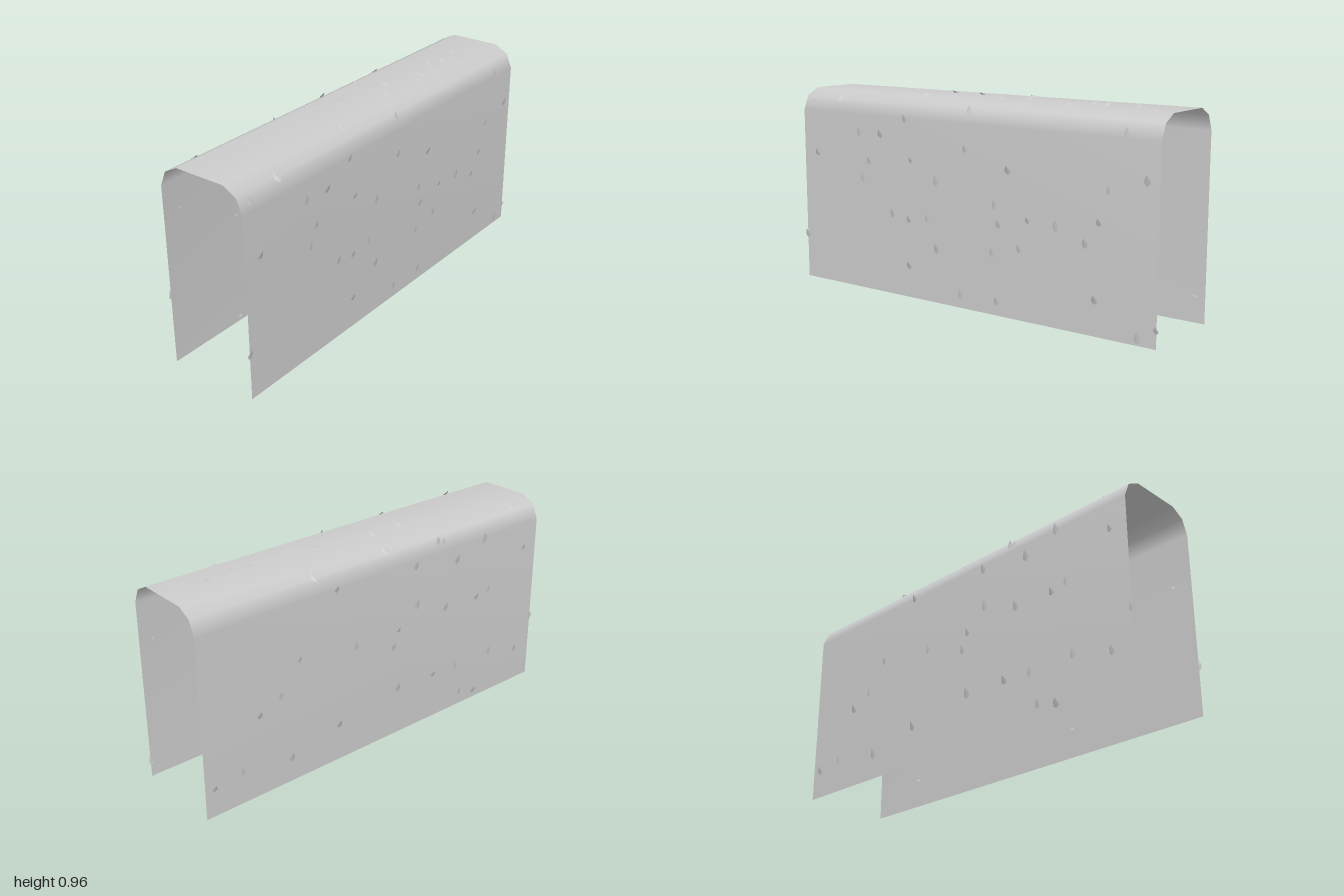
import * as THREE from 'three';

// Right half of the arch cross-section, from the ground to the crown
const HALF = [[0.216, 0], [0.216, 0.842], [0.187, 0.91], [0.123, 0.944], [0, 0.944]];
const HALF_LENGTH = 0.987;

// Leaves on the flanks as z, y pairs
const LEFT_LEAVES = [
  0.93, 0.88, 0.76, 0.91, 0.90, 0.635, 0.60, 0.54, 0.56, 0.625, 0.485, 0.755, 0.62, 0.76, 0.335, 0.84,
  0.30, 0.65, 0.15, 0.57, 0.415, 0.39, 0.315, 0.37, 0.205, 0.39, 0.15, 0.255, 0.315, 0.15, -0.025, 0.90,
  -0.015, 0.73, -0.25, 0.655, -0.18, 0.50, -0.20, 0.415, -0.355, 0.45, -0.50, 0.445, -0.645, 0.39,
  -0.71, 0.485, -0.755, 0.625, -0.93, 0.68, -0.83, 0.86, -0.165, 0.285, -0.31, 0.32, -0.695, 0.155,
  0.01, 0.065, -0.19, 0.065, -0.985, 0.08, -0.90, 0.035, 0.985, 0.22,
];
const RIGHT_LEAVES = [
  -0.94, 0.135, -0.80, 0.16, -0.54, 0.12, -0.70, 0.39, -0.59, 0.445, -0.485, 0.58, -0.27, 0.18,
  -0.175, 0.54, 0.05, 0.46, 0.08, 0.535, 0.19, 0.63, 0.375, 0.56, 0.58, 0.55, 0.66, 0.57, 0.08, 0.24,
  0.305, 0.23, 0.45, 0.225, 0.49, 0.07, 0.59, 0.04, 0.685, 0.23, 0.88, 0.18, 0.90, 0.72, 0.615, 0.84,
  0.18, 0.82, -0.28, 0.84, 0.985, 0.33, 0.44, 0.78, 0.33, 0.89, -0.38, 0.91,
];
// Leaves over the crown as x, z pairs
const CROWN_LEAVES = [
  -0.01, -0.765, 0.04, -0.63, 0.11, -0.655, 0.015, -0.555, 0.10, -0.48, 0.065, -0.41, 0.0, -0.21,
  0.08, -0.115, -0.12, -0.15, -0.04, 0.075, -0.04, 0.235, 0.13, 0.28, -0.17, -0.37, -0.175, 0.03,
  -0.16, 0.85, -0.20, 0.36,
];

// Thin open sheet swept along z
function sheetGeometry() {
  const right = HALF.slice(0, -1);
  const profile = [...right, ...right.slice().reverse().map(([x, y]) => [-x, y])];
  const pos = [], index = [];
  profile.forEach(([x, y], i) => {
    pos.push(x, y, HALF_LENGTH, x, y, -HALF_LENGTH);
    if (i > 0) {
      const a = 2 * i - 2;
      index.push(a, a + 1, a + 2, a + 1, a + 3, a + 2);
    }
  });
  const g = new THREE.BufferGeometry();
  g.setAttribute('position', new THREE.Float32BufferAttribute(pos, 3));
  g.setIndex(index);
  g.computeVertexNormals();
  return g;
}

// Small pointed leaf, folded slightly along its midrib
function leafGeometry() {
  const outline = [[0, 0.026], [-0.009, 0.011], [-0.015, -0.006], [-0.009, -0.02],
    [0, -0.024], [0.009, -0.02], [0.015, -0.006], [0.009, 0.011]];
  const pos = [0, 0, 0.003], index = [];
  outline.forEach(([x, y], i) => {
    pos.push(x, y, 0.003 - Math.abs(x) * 0.25);
    index.push(0, i + 1, ((i + 1) % outline.length) + 1);
  });
  const g = new THREE.BufferGeometry();
  g.setAttribute('position', new THREE.Float32BufferAttribute(pos, 3));
  g.setIndex(index);
  g.computeVertexNormals();
  return g;
}

export function createModel() {
  const model = new THREE.Group();
  model.name = 'leafyArch';
  const material = new THREE.MeshStandardMaterial({ color: 0xcccccc, side: THREE.DoubleSide });

  const sheet = new THREE.Mesh(sheetGeometry(), material);
  sheet.name = 'archSheet';
  model.add(sheet);

  const leaves = new THREE.Group();
  leaves.name = 'leaves';
  model.add(leaves);
  const leafShape = leafGeometry();

  // Lay a leaf on profile segment i, tip pointing up the slope and a little lifted
  function addLeaf(side, i, t, z) {
    const [ax, ay] = HALF[i], [bx, by] = HALF[i + 1];
    const up = new THREE.Vector3(side * (bx - ax), by - ay, 0).normalize();
    const out = new THREE.Vector3(side * (by - ay), ax - bx, 0).normalize();
    const across = new THREE.Vector3().crossVectors(up, out);
    const leaf = new THREE.Mesh(leafShape, material);
    leaf.name = 'leaf';
    leaf.quaternion.setFromRotationMatrix(new THREE.Matrix4().makeBasis(across, up, out));
    leaf.position.set(side * (ax + (bx - ax) * t), ay + (by - ay) * t, z).addScaledVector(out, 0.003);
    const n = leaves.children.length;
    leaf.rotateX(0.14 + 0.1 * (n % 3));
    leaf.scale.setScalar(0.75 + 0.11 * ((n * 3) % 4));
    leaves.add(leaf);
  }

  // Flank leaves, located by height
  for (const [side, list] of [[1, LEFT_LEAVES], [-1, RIGHT_LEAVES]]) {
    for (let k = 0; k < list.length; k += 2) {
      const y = list[k + 1];
      const i = y < HALF[1][1] ? 0 : y < HALF[2][1] ? 1 : 2;
      addLeaf(side, i, (y - HALF[i][1]) / (HALF[i + 1][1] - HALF[i][1]), list[k]);
    }
  }

  // Crown leaves, located by distance from the centre line
  for (let k = 0; k < CROWN_LEAVES.length; k += 2) {
    const x = Math.abs(CROWN_LEAVES[k]);
    const i = x < HALF[3][0] ? 3 : x < HALF[2][0] ? 2 : 1;
    addLeaf(CROWN_LEAVES[k] < -0.03 ? -1 : 1, i, (HALF[i][0] - x) / (HALF[i][0] - HALF[i + 1][0]), CROWN_LEAVES[k + 1]);
  }
  return model;
}
